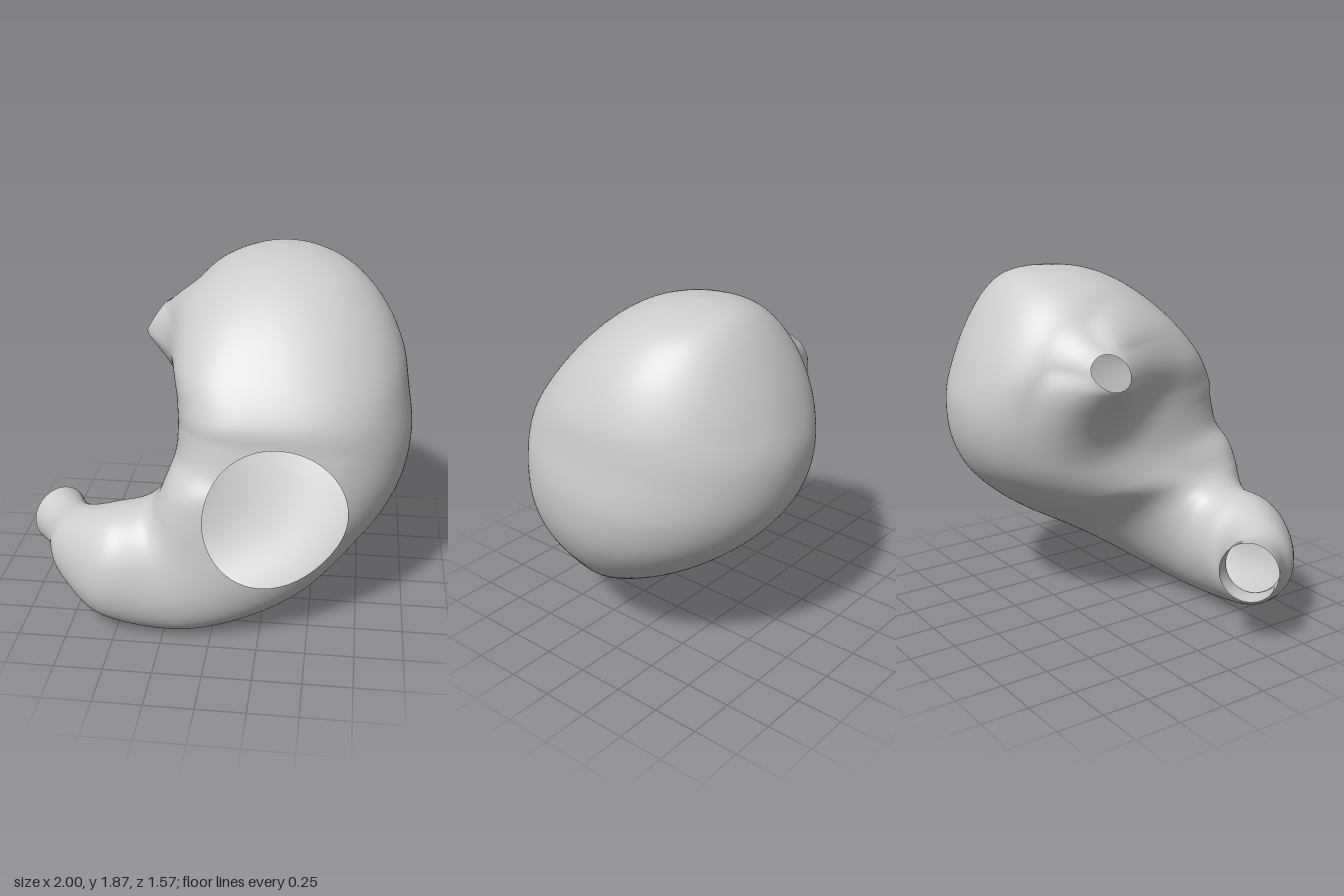
import * as THREE from 'three';

// Cross-sections from the domed top to the open outlet:
// centre, half-axis towards the outer curve, half-axis towards the front
const SECTIONS = [
  [[0.30, 1.875, -0.23], [0, 0, 0], [0, 0, 0]],
  [[0.30, 1.845, -0.21], [0.20, 0, 0], [0, 0, 0.21]],
  [[0.30, 1.76, -0.17], [0.38, 0, 0], [0, 0, 0.36]],
  [[0.31, 1.60, -0.125], [0.52, 0, 0], [0, 0, 0.51]],
  [[0.34, 1.40, -0.085], [0.59, 0, 0], [0, 0, 0.64]],
  [[0.38, 1.20, -0.06], [0.59, 0, 0], [0, 0.02, 0.72]],
  [[0.40, 1.00, -0.03], [0.60, -0.05, 0], [0, 0.07, 0.71]],
  [[0.37, 0.805, 0.05], [0.575, -0.105, 0], [0, 0.08, 0.66]],
  [[0.27, 0.635, 0.20], [0.505, -0.175, 0], [0, 0.10, 0.55]],
  [[0.07, 0.45, 0.40], [0.355, -0.285, 0.02], [0, 0.06, 0.37]],
  [[-0.22, 0.35, 0.50], [0.14, -0.34, 0.06], [0, 0.03, 0.27]],
  [[-0.52, 0.36, 0.52], [-0.02, -0.31, 0.02], [-0.03, 0, 0.26]],
  [[-0.70, 0.38, 0.43], [-0.01, -0.23, 0], [-0.12, 0, 0.15]],
  [[-0.80, 0.42, 0.32], [0, -0.155, 0], [-0.10, 0, 0.105]],
  [[-0.885, 0.43, 0.21], [0, -0.16, 0], [-0.115, 0, 0.10]],
];
const [CENTRE, OUTER, FRONT] = [0, 1, 2].map((k) => new THREE.CatmullRomCurve3(
  SECTIONS.map((s) => new THREE.Vector3(...s[k])), false, 'catmullrom', 0.5));
const ROWS = 196, COLS = 160;
const { smoothstep, clamp, lerp } = THREE.MathUtils;

// Round window in the front wall and inlet opening in the side wall,
// each an ellipse seen along one axis
const WINDOW = { axis: 'x', u: 0.33, v: 0.735, ru: 0.355, rv: 0.375 };
const INLET = { axis: 'z', u: -0.29, v: 1.43, ru: 0.095, rv: 0.085 };

// Wall point: an egg-shaped ellipse whose quadrants bulge by different amounts
function wallPoint(t, angle) {
  const s = clamp(t, 0, 1);
  const body = smoothstep(s, 0.05, 0.4) * (1 - smoothstep(s, 0.58, 0.78));
  const cos = Math.cos(angle), sin = Math.sin(angle);
  const bulge = sin > 0 ? (cos > 0 ? 0.08 : 0.14) : (cos > 0 ? 0.01 : 0.06);
  const r = 1 + body * bulge * Math.sin(2 * angle) ** 2;
  return CENTRE.getPoint(s)
    .addScaledVector(OUTER.getPoint(s), r * cos - 0.15 * body * sin * sin)
    .addScaledVector(FRONT.getPoint(s), r * sin);
}

function depthIn(hole, p) {
  return Math.hypot((p[hole.axis] - hole.u) / hole.ru, (p.y - hole.v) / hole.rv);
}

// Slides a point inside an opening along the wall to the rim (Newton steps)
function slideToRim(hole, t, angle, p) {
  const d = depthIn(hole, p), k = hole.axis, h = 1e-4;
  const u = hole.u + (p[k] - hole.u) / d, v = hole.v + (p.y - hole.v) / d;
  for (let step = 0; step < 6; step++) {
    const q = wallPoint(t, angle);
    const pt = wallPoint(t + h, angle).sub(q).divideScalar(h);
    const pa = wallPoint(t, angle + h).sub(q).divideScalar(h);
    const det = pt[k] * pa.y - pa[k] * pt.y;
    const eu = u - q[k], ev = v - q.y;
    t += clamp((eu * pa.y - ev * pa[k]) / det, -0.03, 0.03);
    angle += clamp((ev * pt[k] - eu * pt.y) / det, -0.2, 0.2);
  }
  const q = wallPoint(t, angle);
  q[k] = u;
  q.y = v;
  return q;
}

// Draws the wall around the inlet out into a short funnel with a tilted mouth;
// it blends in slowly below and in front, quickly above and behind
function pullFunnel(p) {
  const dy = p.y - INLET.v, dz = p.z - INLET.u;
  const d = Math.max(Math.hypot(dy, dz), 1e-5);
  const reach = Math.hypot((dy / d) * (dy < 0 ? 0.5 : 0.14), (dz / d) * (dz > 0 ? 0.5 : 0.14));
  const s = clamp((d - 0.09) / reach, 0, 1);
  const mouthX = -0.4 + 0.6 * clamp(dy, -0.085, 0.085) - 0.25 * clamp(dz, -0.095, 0.095);
  p.x = lerp(p.x, Math.min(p.x, mouthX), Math.pow(1 - s, 2.2));
}

function wallGeometry() {
  const positions = [], cut = [], index = [];
  for (let i = 0; i <= ROWS; i++) {
    const t = i / ROWS;
    for (let j = 0; j < COLS; j++) {
      const angle = (j / COLS) * Math.PI * 2;
      let p = wallPoint(t, angle);
      const innerSide = Math.cos(angle) < 0 && p.x < 0.1 && t < 0.55;
      const hole = Math.sin(angle) > 0 && p.z > 0.3 ? WINDOW : innerSide ? INLET : null;
      const inside = hole !== null && depthIn(hole, p) < 1;
      if (inside && depthIn(hole, p) > 0.3) p = slideToRim(hole, t, angle, p);
      if (innerSide) pullFunnel(p);
      cut.push(inside);
      positions.push(p.x, p.y, p.z);
    }
  }

  // Faces lying wholly inside an opening are left out
  const face = (a, b, c) => {
    if (!(cut[a] && cut[b] && cut[c])) index.push(a, b, c);
  };
  for (let i = 0; i < ROWS; i++) {
    for (let j = 0; j < COLS; j++) {
      const p = i * COLS + j, q = i * COLS + (j + 1) % COLS;
      face(p, q, p + COLS);
      face(q, q + COLS, p + COLS);
    }
  }

  const geometry = new THREE.BufferGeometry();
  geometry.setAttribute('position', new THREE.Float32BufferAttribute(positions, 3));
  geometry.setIndex(index);
  geometry.computeVertexNormals();
  return geometry;
}

export function createModel() {
  const model = new THREE.Group();
  model.name = 'stomach';
  const material = new THREE.MeshStandardMaterial({ color: 0xcccccc, side: THREE.DoubleSide });
  material.name = 'light grey';

  // Hollow wall with inlet funnel, front window and open outlet
  const wall = new THREE.Mesh(wallGeometry(), material);
  wall.name = 'stomachWall';
  model.add(wall);
  return model;
}
